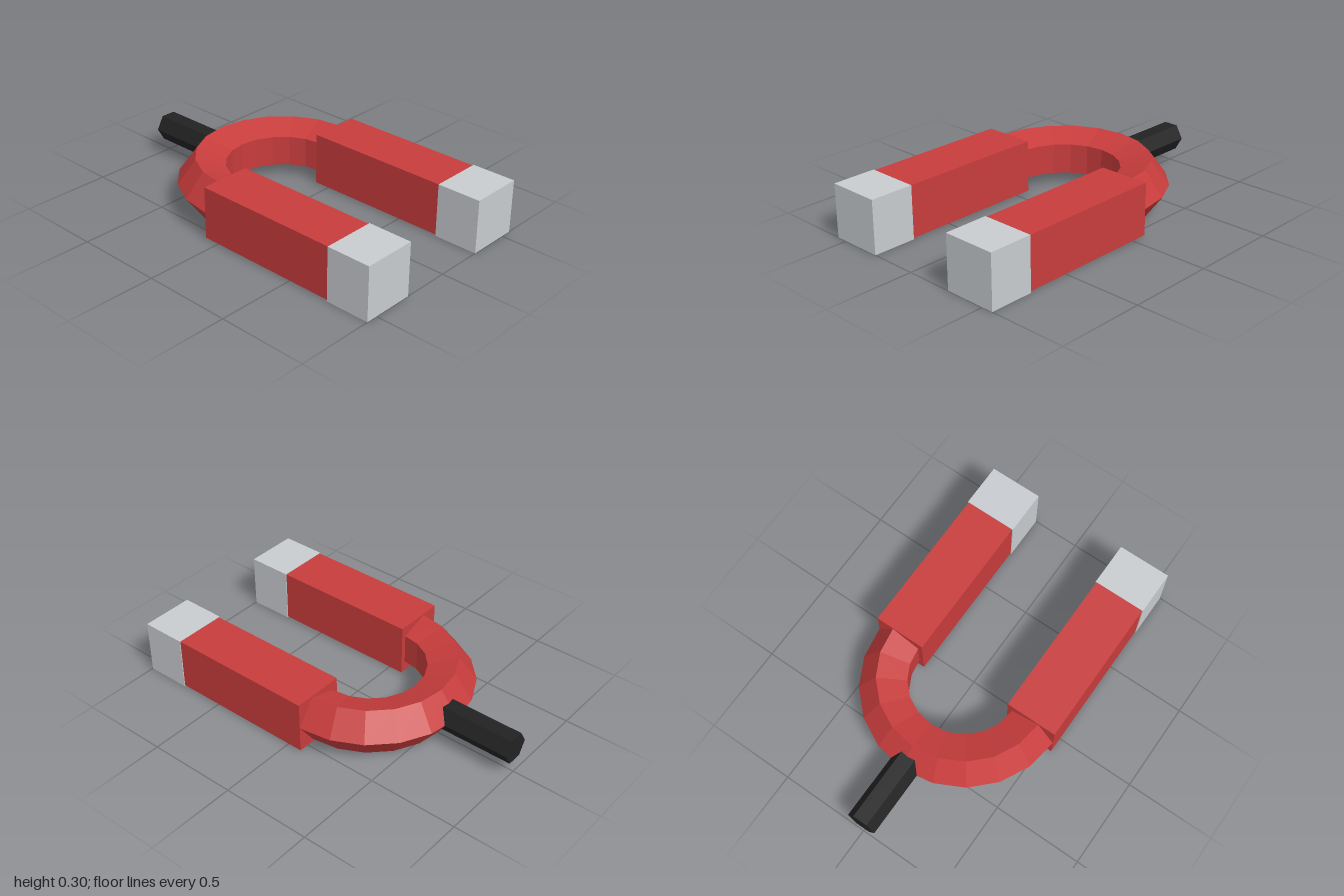
import * as THREE from 'three';

const paint = (color) => new THREE.MeshStandardMaterial({ color, flatShading: true });

export function createModel() {
  const group = new THREE.Group();
  const red = paint(0xc83c3c);
  const steel = paint(0xc8ccd0);
  const black = paint(0x222222);

  const add = (name, geometry, material, x, y, z) => {
    const mesh = new THREE.Mesh(geometry, material);
    mesh.name = name;
    mesh.position.set(x, y, z);
    group.add(mesh);
  };

  const midY = 0.151;
  const bendX = -0.085; // where the bend meets the arms
  const armZ = 0.416;

  // Five-sided half ring opening towards +x
  const bend = new THREE.TorusGeometry(armZ, 0.144, 5, 10, Math.PI);
  bend.rotateX(Math.PI / 2).rotateY(-Math.PI / 2);
  add('bend', bend, red, bendX, midY, 0);

  // Two square arms with bare metal tips
  for (const [side, s] of [['front', 1], ['back', -1]]) {
    const armLength = 0.75 - bendX;
    add(side + 'Arm', new THREE.BoxGeometry(armLength, 0.292, 0.288), red,
      bendX + armLength / 2, midY, s * armZ);
    add(side + 'Tip', new THREE.BoxGeometry(0.25, 0.3, 0.297), steel,
      0.875, 0.15, s * armZ);
  }

  // Hexagonal handle, flat sides up and down, sunk into the bend
  const handle = new THREE.CylinderGeometry(0.083, 0.083, 0.45, 6);
  handle.rotateZ(Math.PI / 2);
  add('handle', handle, black, -0.775, midY, 0);

  return group;
}
